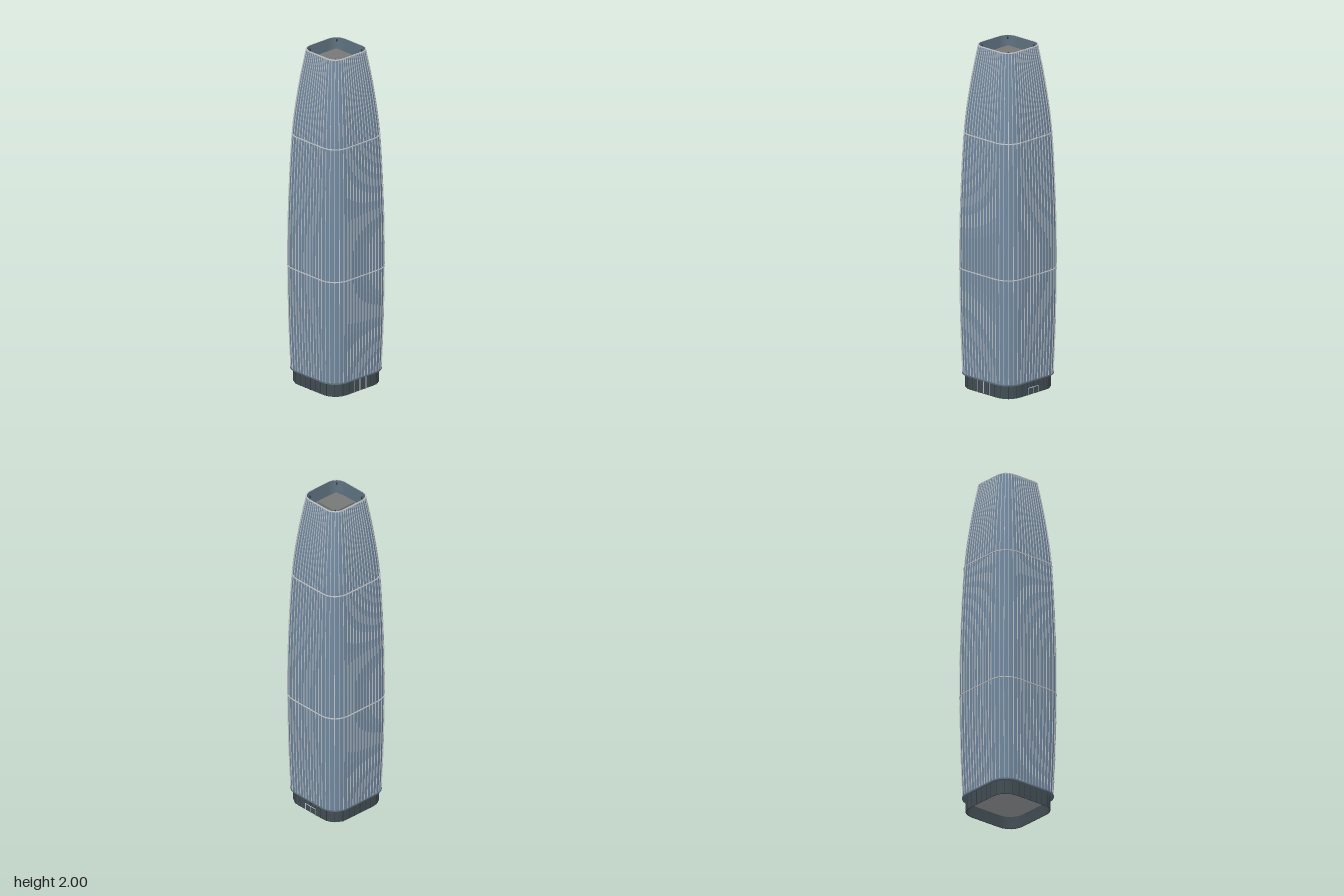
import * as THREE from 'three';
import { toCreasedNormals, mergeGeometries } from 'three/addons/utils/BufferGeometryUtils.js';

const paint = (name, color) => {
  const m = new THREE.MeshStandardMaterial({ color });
  m.name = name;
  return m;
};

// Unit rounded square: 64 points, each with an outward normal
function unitOutline(r = 0.47, straight = 10, arc = 6) {
  const pts = [];
  const c = 1 - r;
  for (let q = 0; q < 4; q++) {
    const a0 = q * Math.PI / 2, cs = Math.cos(a0), sn = Math.sin(a0);
    const add = (x, z, a) => pts.push({
      x: x * cs - z * sn, z: x * sn + z * cs,
      nx: Math.cos(a0 + a), nz: Math.sin(a0 + a),
    });
    for (let i = 0; i < straight; i++) add(1, -c + 2 * c * i / straight, 0);
    for (let i = 0; i < arc; i++) {
      const a = i / arc * Math.PI / 2;
      add(c + r * Math.cos(a), c + r * Math.sin(a), a);
    }
  }
  return pts;
}
const OUTLINE = unitOutline();

// Surface through rows of points
function grid(rows, closed, crease = 0.5) {
  const n = rows[0].length, index = [];
  for (let j = 0; j < rows.length - 1; j++) {
    for (let i = 0; i < (closed ? n : n - 1); i++) {
      const k = (i + 1) % n;
      const a = j * n + i, b = j * n + k, c = a + n, d = b + n;
      index.push(a, c, b, b, c, d);
    }
  }
  const g = new THREE.BufferGeometry();
  g.setAttribute('position', new THREE.Float32BufferAttribute(rows.flat(2), 3));
  g.setIndex(index);
  return toCreasedNormals(g, crease);
}

// Rounded-square loft; each row is [y, half width, offset along normal]
const loft = (rows) => grid(rows.map(([y, h, off = 0]) =>
  OUTLINE.map((p) => [p.x * h + p.nx * off, y, p.z * h + p.nz * off])), true);

// Flat rounded-square plate facing up or down
function plate(h, y, up) {
  const shape = new THREE.Shape(OUTLINE.map((p) => new THREE.Vector2(p.x * h, p.z * h)));
  return new THREE.ShapeGeometry(shape).rotateX(up ? -Math.PI / 2 : Math.PI / 2).translate(0, y, 0);
}

// Bulging tower silhouette
const PROFILE = new THREE.SplineCurve([
  [0.08, 0.206], [0.35, 0.215], [0.7, 0.22], [1.05, 0.217],
  [1.49, 0.2], [1.77, 0.171], [2, 0.135],
].map(([y, h]) => new THREE.Vector2(y, h)));
const SAMPLES = PROFILE.getPoints(240);
function halfWidth(y) {
  let i = 1;
  while (i < SAMPLES.length - 1 && SAMPLES[i].x < y) i++;
  const a = SAMPLES[i - 1], b = SAMPLES[i];
  return THREE.MathUtils.mapLinear(y, a.x, b.x, a.y, b.y);
}

// Belt around the tower
const belt = (y, height, proud, depth = 0.01) => {
  const h0 = halfWidth(y), h1 = halfWidth(y + height);
  return loft([[y, h0, -depth], [y, h0, proud], [y + height, h1, proud], [y + height, h1, -depth]]);
};

export function createModel() {
  const glass = paint('blue glass', 0x70889f);
  const metal = paint('light metal', 0xc0c4c8);
  const wall = paint('parapet wall', 0x5f7280);
  const lobbyDark = paint('lobby dark', 0x424e53);
  const deck = paint('deck grey', 0x777977);
  const soffit = paint('soffit grey', 0xa0a3a4);
  const dark = paint('dark fittings', 0x343a3d);

  const tower = new THREE.Group();
  tower.name = 'tower';
  const add = (name, geometry, material) => {
    const m = new THREE.Mesh(geometry, material);
    m.name = name;
    tower.add(m);
  };
  const BOTTOM = 0.08, TOP = 2, DECK = 1.91;

  // Curved glass skin
  const levels = Array.from({ length: 49 }, (_, i) => BOTTOM + (TOP - BOTTOM) * i / 48);
  add('glassSkin', loft(levels.map((y) => [y, halfWidth(y)])), glass);

  // Vertical fins following the skin
  const w = 0.0015, proud = 0.003;
  const fins = OUTLINE.map((p) => grid(levels.map((y) => {
    const h = halfWidth(y);
    return [[-w, -0.001], [-w, proud], [w, proud], [w, -0.001]].map(([t, o]) =>
      [p.x * h + p.nx * o - p.nz * t, y, p.z * h + p.nz * o + p.nx * t]);
  }), false));
  add('verticalFins', mergeGeometries(fins), metal);

  // Belts and crown rim
  add('lowerBelt', belt(0.699, 0.005, 0.0045), metal);
  add('upperBelt', belt(1.488, 0.005, 0.0045), metal);
  add('baseLedge', belt(BOTTOM, 0.008, 0.005, 0.022), wall);
  add('crownRim', belt(1.995, 0.005, 0.003, 0.003), metal);

  // Sunken roof with plant box and corner lamps
  add('parapetInside', loft([[TOP, halfWidth(TOP), -0.003], [DECK, halfWidth(TOP), -0.003]]), wall);
  add('roofDeck', plate(halfWidth(TOP) - 0.002, DECK, true), deck);
  add('roofPlant', new THREE.BoxGeometry(0.14, 0.05, 0.145).translate(0, DECK + 0.025, 0), deck);
  for (const x of [-0.101, 0.101]) {
    for (const z of [-0.101, 0.101]) {
      add('roofLamp', new THREE.BoxGeometry(0.007, 0.012, 0.007).translate(x, 1.99, z), dark);
    }
  }

  // Open-bottomed lobby
  const B = 0.194;
  add('lobbyWall', loft([
    [0.074, B, -0.006], [0, B, -0.006], [0, B, 0], [BOTTOM, B, 0],
  ]), lobbyDark);
  add('lobbySoffit', plate(B - 0.004, 0.072, false), soffit);

  // Lobby panel joints
  const joints = OUTLINE.filter((_, i) => i % 2 === 1).map((p) =>
    new THREE.BoxGeometry(0.003, BOTTOM, 0.003).rotateY(-Math.atan2(p.nz, p.nx))
      .translate(p.x * B, BOTTOM / 2, p.z * B));
  add('lobbyJoints', mergeGeometries(joints), dark);

  // Front lobby bars
  for (const x of [-0.045, 0, 0.045]) {
    add('entranceBar', new THREE.BoxGeometry(0.003, 0.076, 0.005).translate(x, 0.039, B), metal);
  }

  // Side door frame
  for (const z of [-0.04, 0, 0.04]) {
    add('doorPost', new THREE.BoxGeometry(0.005, 0.04, 0.003).translate(B, 0.02, z), metal);
  }
  add('doorLintel', new THREE.BoxGeometry(0.005, 0.003, 0.083).translate(B, 0.04, 0), metal);

  return tower;
}
